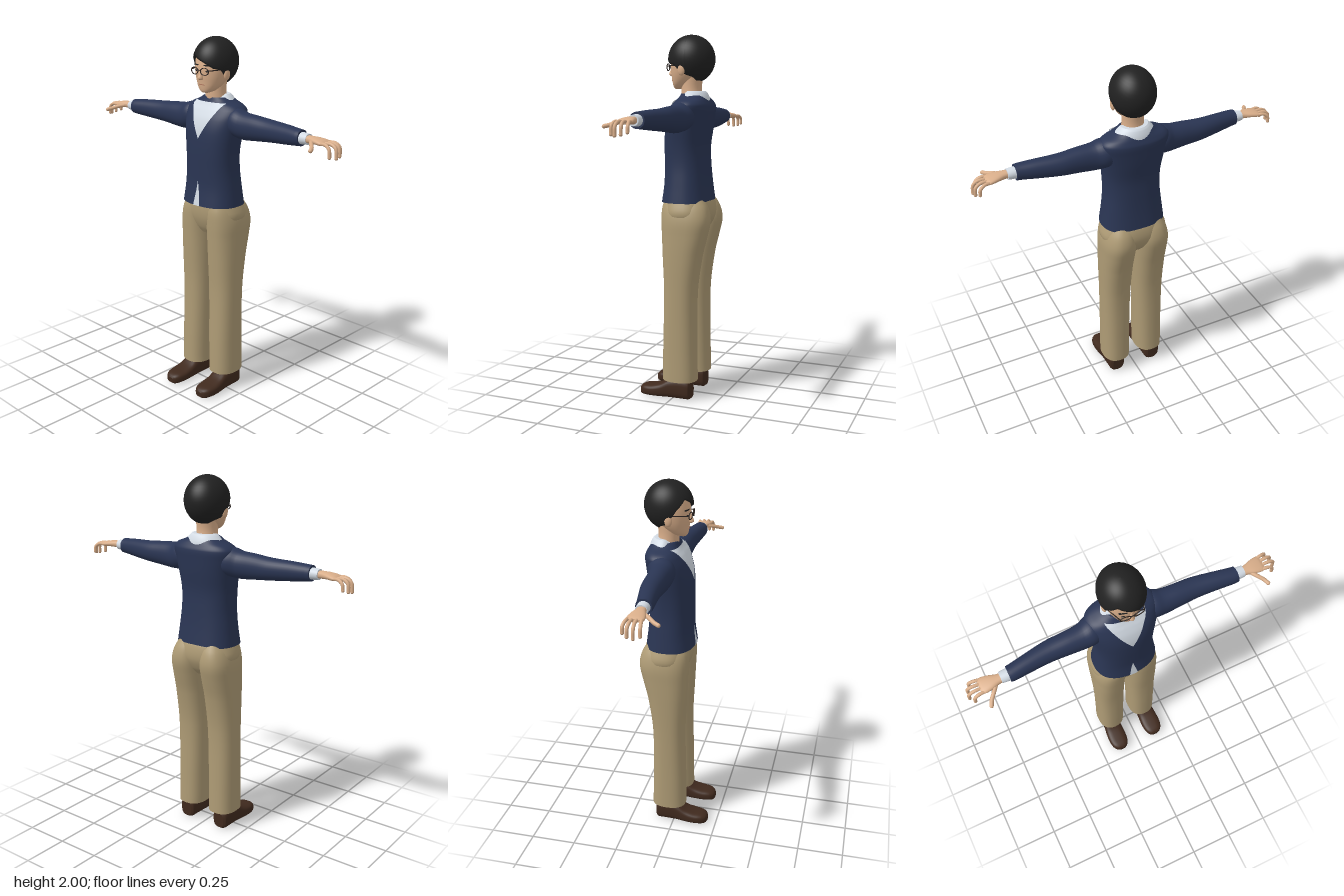
import * as THREE from 'three';

const mat = (name, hex) => {
  const m = new THREE.MeshStandardMaterial({ color: hex, side: THREE.DoubleSide });
  m.name = name;
  return m;
};

// Smooth interpolation of cross-section rows [t, c1, r1, c2, r2] at t
function sample(rows, t) {
  let i = 0;
  while (i < rows.length - 2 && t > rows[i + 1][0]) i++;
  const slope = (k, c) => {
    const a = rows[Math.max(0, k - 1)], b = rows[Math.min(rows.length - 1, k + 1)];
    return (b[c] - a[c]) / (b[0] - a[0]);
  };
  const a = rows[i], b = rows[i + 1], h = b[0] - a[0], s = (t - a[0]) / h, s2 = s * s, s3 = s2 * s;
  return [1, 2, 3, 4].map(c => (2 * s3 - 3 * s2 + 1) * a[c] + (s3 - 2 * s2 + s) * h * slope(i, c)
    + (3 * s2 - 2 * s3) * b[c] + (s3 - s2) * h * slope(i + 1, c));
}

function build(pos, index) {
  const g = new THREE.BufferGeometry();
  g.setAttribute('position', new THREE.Float32BufferAttribute(pos, 3));
  g.setIndex(index);
  g.computeVertexNormals();
  return g;
}

// Superellipse loft along an axis, with flat closed ends.
// Rows: y -> [y, x, rx, z, rz], x -> [x, z, rz, y, ry], z -> [z, y, ry, x, rx]
function loft(axis, rows, p = 2, n = 32, steps = 4) {
  const pos = [], index = [];
  const put = (t, u, v) => pos.push(...(axis === 'y' ? [u, t, v] : axis === 'x' ? [t, v, u] : [v, u, t]));
  const pw = v => Math.sign(v) * Math.abs(v) ** (2 / p);
  const ring = t => {
    const [c1, r1, c2, r2] = sample(rows, t);
    for (let j = 0; j < n; j++) {
      const a = j / n * Math.PI * 2;
      put(t, c1 + r1 * pw(Math.cos(a)), c2 + r2 * pw(Math.sin(a)));
    }
    return [c1, c2];
  };
  const ts = [rows[0][0]];
  for (let i = 1; i < rows.length; i++)
    for (let k = 1; k <= steps; k++) ts.push(rows[i - 1][0] + (rows[i][0] - rows[i - 1][0]) * k / steps);
  ts.forEach(ring);
  for (let i = 0; i < ts.length - 1; i++) for (let j = 0; j < n; j++) {
    const a = i * n + j, b = i * n + (j + 1) % n;
    index.push(a, a + n, b, b, a + n, b + n);
  }
  [ts[0], ts[ts.length - 1]].forEach((t, end) => {
    const o = pos.length / 3, [c1, c2] = ring(t);
    put(t, c1, c2);
    for (let j = 0; j < n; j++) {
      const a = o + j, b = o + (j + 1) % n;
      index.push(o + n, ...(end ? [b, a] : [a, b]));
    }
  });
  return build(pos, index);
}

function mirror(geo) {
  const g = geo.clone().scale(-1, 1, 1), ix = g.index.array;
  for (let i = 0; i < ix.length; i += 3) [ix[i], ix[i + 1]] = [ix[i + 1], ix[i]];
  return g;
}

const TORSO = [[1.1, 0, .178, -.04, .135], [1.2, 0, .165, -.04, .122], [1.3, 0, .155, -.036, .117],
  [1.4, 0, .158, -.034, .115], [1.5, 0, .172, -.043, .118], [1.57, 0, .185, -.055, .112],
  [1.62, 0, .188, -.069, .1], [1.645, 0, .165, -.072, .086], [1.665, 0, .115, -.072, .075], [1.685, 0, .08, -.07, .066]];
const TORSO_P = 2.4;

// Thin panel lying on the chest between two edges x0(y) and x1(y)
function chestPanel(y0, y1, x0, x1, lift) {
  const pos = [], index = [], ny = 20, nx = 12;
  for (let i = 0; i <= ny; i++) for (let j = 0; j <= nx; j++) {
    const y = y0 + (y1 - y0) * i / ny, x = x0(y) + (x1(y) - x0(y)) * j / nx;
    const [, rx, cz, rz] = sample(TORSO, y);
    const q = Math.min(.97, Math.abs(x / rx));
    pos.push(x, y, cz + rz * (1 - q ** TORSO_P) ** (1 / TORSO_P) + lift);
    if (i < ny && j < nx) {
      const a = i * (nx + 1) + j, b = a + nx + 1;
      index.push(a, a + 1, b, a + 1, b + 1, b);
    }
  }
  return build(pos, index);
}

// Hair cap whose lower edge height follows the angle around the head (90 = front)
function hairCap() {
  const keys = [[0, 1.785], [15, 1.80], [30, 1.835], [50, 1.845], [75, 1.875], [126, 1.918], [150, 1.87],
    [162, 1.83], [180, 1.785], [200, 1.775], [230, 1.75], [270, 1.745], [310, 1.75], [340, 1.775], [360, 1.785]];
  const n = 72, m = 18, pos = [], index = [];
  for (let i = 0; i <= m + 1; i++) for (let j = 0; j <= n; j++) {
    const deg = j / n * 360, a = deg * Math.PI / 180;
    const k = Math.max(1, keys.findIndex(e => e[0] >= deg)), [d0, e0] = keys[k - 1], [d1, e1] = keys[k];
    const edge = e0 + (e1 - e0) * (deg - d0) / (d1 - d0);
    const th = Math.acos((edge - 1.87) / .13) * Math.min(i, m) / m, s = i > m ? .84 : 1;
    pos.push(.117 * s * Math.sin(th) * Math.cos(a), 1.87 + .13 * Math.cos(th), -.055 + .13 * s * Math.sin(th) * Math.sin(a));
    if (i <= m && j < n) {
      const q = i * (n + 1) + j, r = q + n + 1;
      index.push(q, q + 1, r, q + 1, r + 1, r);
    }
  }
  return build(pos, index);
}

export function createModel() {
  const root = new THREE.Group();
  root.name = 'standingMan';
  const skin = mat('skin', 0xd9ae8a), navy = mat('navy knit', 0x2a3553), shirt = mat('white shirt', 0xd3dbe4),
    khaki = mat('khaki', 0xae9b75), black = mat('black hair', 0x212121), brown = mat('brown leather', 0x402a1e),
    frame = mat('dark frame', 0x2b2320), lip = mat('lip', 0xb07a62);
  const add = (name, geo, m) => {
    const mesh = new THREE.Mesh(geo, m);
    mesh.name = name;
    root.add(mesh);
    return mesh;
  };
  const pair = (name, geo, m) => {
    add('left' + name, geo, m);
    add('right' + name, mirror(geo), m);
  };
  const ball = (r, sx, sy, sz, x, y, z) => new THREE.SphereGeometry(r, 16, 12).scale(sx, sy, sz).translate(x, y, z);
  const box = (w, h, d, x, y, z) => new THREE.BoxGeometry(w, h, d).translate(x, y, z);

  // Cardigan with shirt showing at neck and hem
  add('cardigan', loft('y', TORSO, TORSO_P, 56), navy);
  add('shirtFront', chestPanel(1.47, 1.66, y => -.58 * (y - 1.47), y => .58 * (y - 1.47), .004), shirt);
  add('shirtHem', chestPanel(1.1, 1.24, y => -.17 * (1.24 - y), y => .17 * (1.24 - y), .003), shirt);
  pair('CollarWing', chestPanel(1.585, 1.65, y => .06 - .7 * (y - 1.585), y => .06 + .68 * (y - 1.585), .009), shirt);
  const collar = loft('y', [[1.64, 0, .118, -.07, .088], [1.665, 0, .108, -.07, .082],
    [1.69, 0, .086, -.07, .07], [1.7, 0, .074, -.07, .06]], 2, 40);
  const cp = collar.attributes.position;
  for (let i = 0; i < cp.count; i++) cp.setY(i, cp.getY(i) - .6 * Math.max(0, cp.getZ(i) + .06));
  collar.computeVertexNormals();
  add('collar', collar, shirt);

  // Sleeves and cuffs
  pair('Sleeve', loft('x', [[.12, -.06, .07, 1.56, .066], [.17, -.055, .074, 1.562, .077], [.22, -.048, .064, 1.552, .073],
    [.3, -.046, .058, 1.552, .067], [.4, -.046, .054, 1.552, .058], [.52, -.032, .047, 1.554, .05],
    [.6, -.021, .043, 1.555, .043], [.625, -.02, .041, 1.555, .041]], 2.1), navy);
  pair('Cuff', loft('x', [[.6, -.02, .034, 1.555, .032], [.645, -.02, .032, 1.555, .029], [.667, -.02, .03, 1.555, .027]]), shirt);

  // Hands with drooping fingers
  pair('Palm', loft('x', [[.645, -.018, .024, 1.556, .02], [.68, -.018, .026, 1.556, .019], [.72, -.019, .038, 1.556, .017],
    [.76, -.021, .044, 1.552, .014], [.778, -.022, .038, 1.55, .008]], 2.3, 24), skin);
  const finger = (name, pts, r) => {
    const c = new THREE.CatmullRomCurve3(pts.map(p => new THREE.Vector3(...p)));
    pair(name, new THREE.TubeGeometry(c, 10, r, 10), skin);
    pair(name + 'Tip', ball(r, 1, 1, 1, ...pts[pts.length - 1]), skin);
  };
  [['IndexFinger', .012, .018, .822, 1.495], ['MiddleFinger', -.011, -.01, .842, 1.49],
    ['RingFinger', -.033, -.04, .838, 1.495], ['LittleFinger', -.053, -.066, .822, 1.505]].forEach(([name, z0, z1, x, y]) =>
    finger(name, [[.755, 1.551, z0], [x - .03, 1.552, (z0 + z1) / 2], [x - .005, 1.535, z1], [x, y, z1]], .0088));
  finger('Thumb', [[.695, 1.553, -.002], [.725, 1.546, .035], [.748, 1.536, .062], [.76, 1.53, .086]], .0105);

  // Trousers
  add('trouserSeat', loft('y', [[.93, 0, .07, -.05, .08], [.97, 0, .14, -.053, .108], [1.03, 0, .186, -.055, .129],
    [1.1, 0, .17, -.05, .127], [1.14, 0, .15, -.045, .11]], 2.4, 48), khaki);
  pair('TrouserLeg', loft('y', [[.105, .107, .081, -.032, .097], [.3, .105, .082, -.031, .094], [.6, .102, .086, -.034, .091],
    [.8, .1, .091, -.043, .109], [.92, .098, .093, -.055, .127], [1, .096, .093, -.061, .137],
    [1.07, .09, .082, -.055, .13], [1.13, .08, .06, -.045, .105]], 2.4), khaki);

  // Shoes
  pair('Shoe', loft('z', [[-.105, .05, .042, .118, .03], [-.095, .055, .054, .118, .045], [-.05, .06, .06, .118, .05],
    [.02, .054, .054, .118, .053], [.07, .04, .04, .12, .057], [.12, .033, .033, .121, .059], [.165, .03, .03, .121, .052],
    [.19, .026, .025, .12, .036], [.2, .024, .015, .119, .018]], 3), brown);

  // Neck and head
  add('neck', loft('y', [[1.6, 0, .07, -.07, .06], [1.66, 0, .062, -.06, .058], [1.72, 0, .057, -.055, .055],
    [1.79, 0, .06, -.06, .06]]), skin);
  add('head', loft('y', [[1.712, 0, .02, .022, .016], [1.72, 0, .038, .01, .035], [1.74, 0, .06, -.005, .055],
    [1.77, 0, .078, -.02, .074], [1.8, 0, .089, -.03, .088], [1.84, 0, .097, -.04, .1], [1.88, 0, .1, -.05, .105],
    [1.92, 0, .095, -.055, .1], [1.96, 0, .07, -.055, .075], [1.98, 0, .03, -.055, .03]], 2.1, 40), skin);
  add('nose', loft('y', [[1.782, 0, .01, .06, .008], [1.79, 0, .015, .057, .021], [1.81, 0, .011, .057, .014],
    [1.845, 0, .008, .053, .008]], 2, 16), skin);
  add('mouth', box(.034, .005, .008, 0, 1.756, .05), lip);
  pair('Ear', ball(.03, .4, 1.15, .7, .1, 1.815, -.035), skin);
  pair('Eye', ball(.011, 1.2, .45, .4, .036, 1.828, .051), black);
  pair('Eyebrow', box(.04, .006, .008, 0, 0, 0).rotateY(.28).translate(.04, 1.858, .05), black);
  add('hair', hairCap(), black);

  // Glasses
  pair('GlassesRim', new THREE.TorusGeometry(.025, .0028, 8, 28).scale(1.08, .74, 1).rotateY(.12).translate(.036, 1.828, .068), frame);
  add('glassesBridge', box(.02, .004, .004, 0, 1.833, .071), frame);
  pair('GlassesTemple', new THREE.TubeGeometry(new THREE.LineCurve3(new THREE.Vector3(.062, 1.833, .065),
    new THREE.Vector3(.104, 1.838, -.035)), 1, .0028, 6), frame);
  return root;
}
